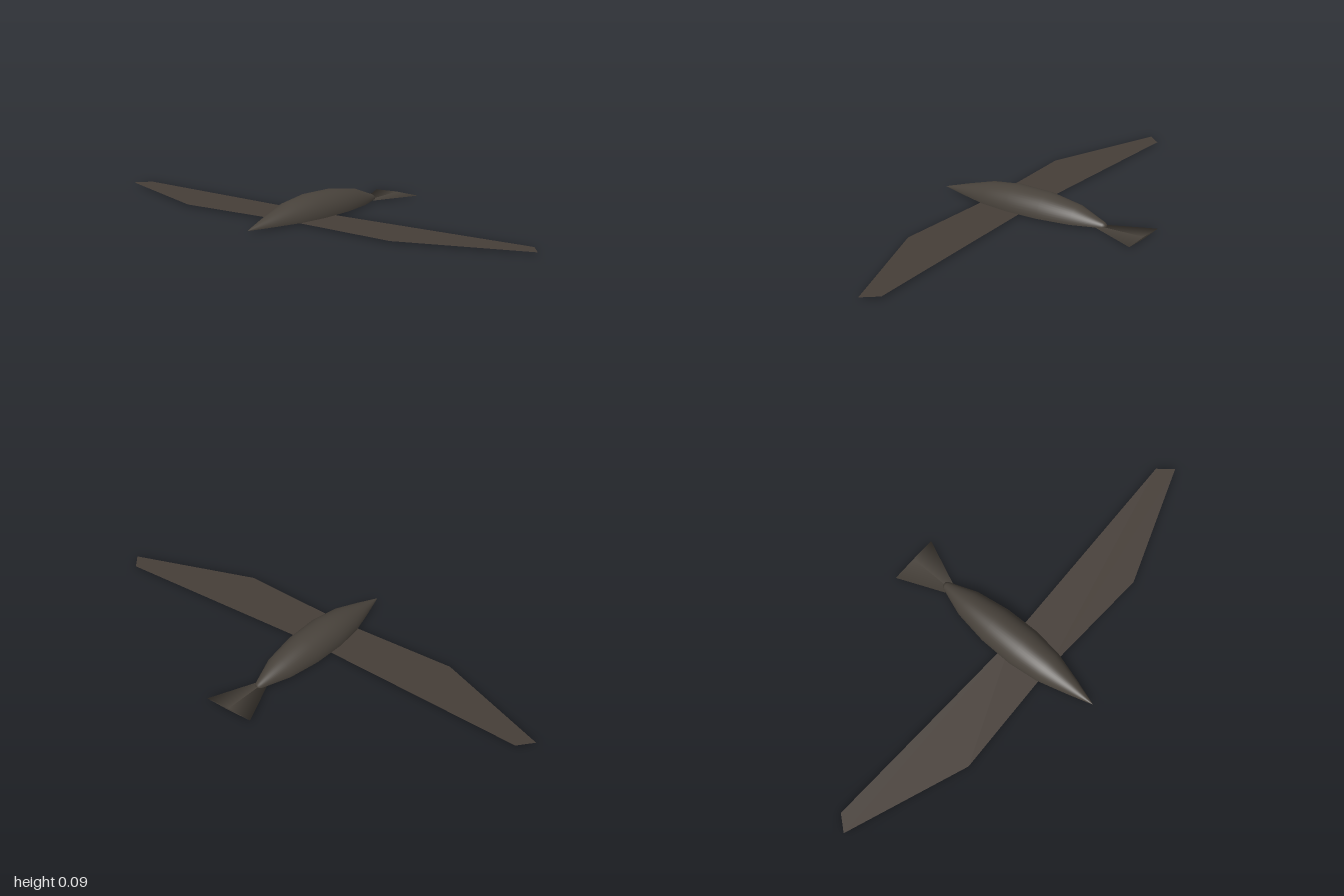
import * as THREE from 'three';

export function createModel() {
  const bird = new THREE.Group();
  bird.name = 'glidingBird';
  const bodyMat = new THREE.MeshStandardMaterial({ color: 0x48423b, side: THREE.DoubleSide });
  bodyMat.name = 'plumage';
  const wingMat = new THREE.MeshStandardMaterial({ color: 0x463e38, side: THREE.DoubleSide });
  wingMat.name = 'wingFeathers';
  const base = 0.007;

  const add = (name, geometry, material) => {
    const mesh = new THREE.Mesh(geometry, material);
    mesh.name = name;
    bird.add(mesh);
    return mesh;
  };

  // Body: half-turned spindle, flat side down, beak towards +z
  const profile = [
    [0, -0.305], [0.011, -0.303], [0.018, -0.293], [0.06, -0.175], [0.081, -0.035],
    [0.084, 0.11], [0.069, 0.235], [0.035, 0.355], [0.007, 0.445], [0, 0.465],
  ].map(([r, z]) => new THREE.Vector2(r, z));
  const body = new THREE.LatheGeometry(profile, 24, Math.PI / 2, Math.PI);
  body.rotateX(Math.PI / 2); // lathe axis to +z, half shell on the upper side
  body.computeBoundingBox();
  if (body.boundingBox.max.y < 0.01) body.rotateZ(Math.PI);
  body.translate(0, base, 0);
  add('body', body, bodyMat);

  // Wings: flat swept blades, mirrored
  for (const side of [1, -1]) {
    const outline = [[0, 0.05], [0.95, 0.016], [1, 0.077], [0.5, 0.262], [0, 0.24]]
      .map(([x, z]) => new THREE.Vector2(x * side, -z));
    const wing = new THREE.ShapeGeometry(new THREE.Shape(outline));
    wing.rotateX(-Math.PI / 2);
    wing.translate(0, base, 0);
    add(side > 0 ? 'leftWing' : 'rightWing', wing, wingMat);
  }

  // Tail: flattened four-sided cone fanning out to the back
  const tail = new THREE.ConeGeometry(0.106, 0.248, 4);
  tail.rotateX(Math.PI / 2);
  tail.scale(1, 0.033, 1);
  tail.translate(0, 0.0035, -0.346);
  add('tail', tail, bodyMat);

  return bird;
}
